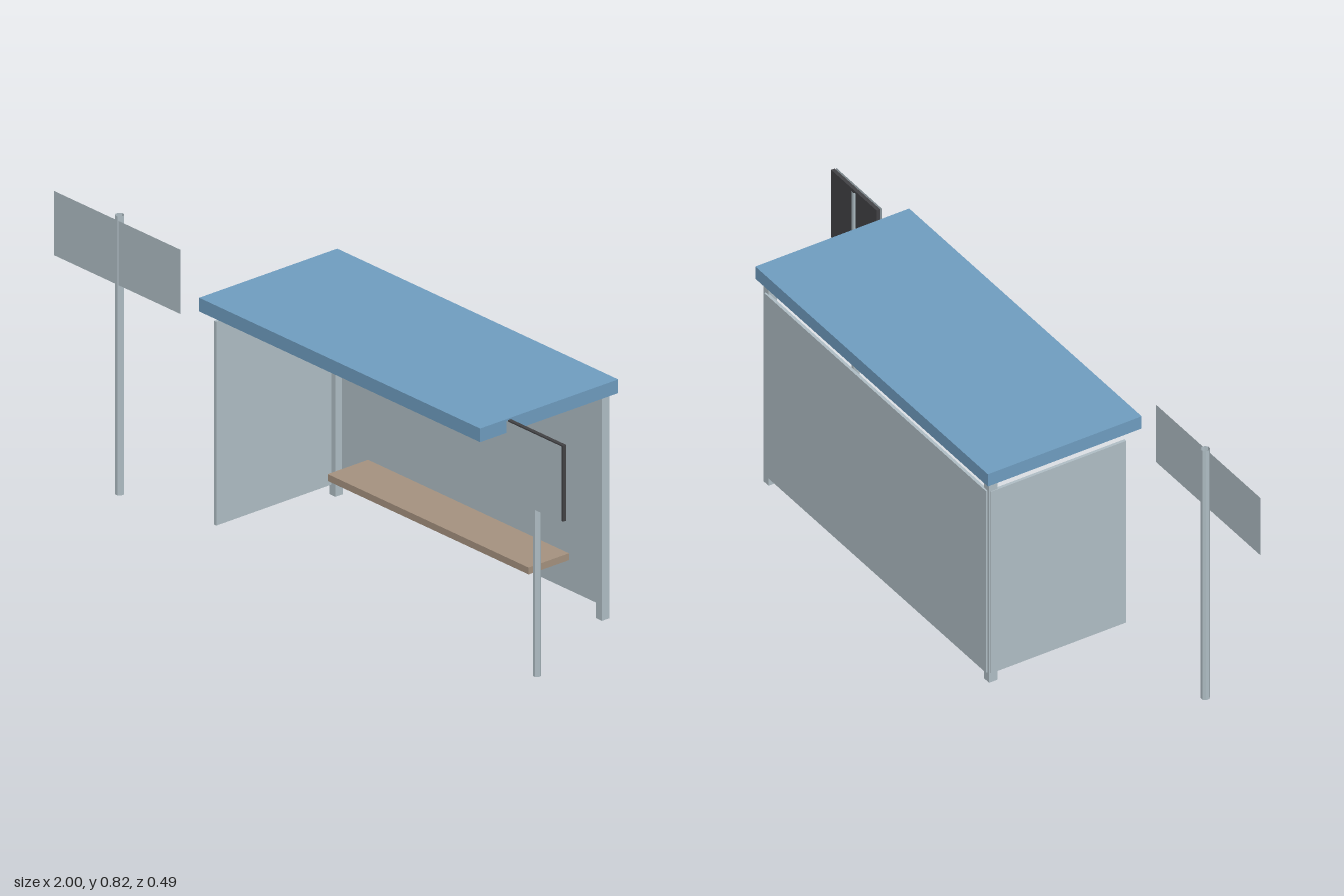
import * as THREE from 'three';

const material = (name, color, side = THREE.FrontSide) => {
  const m = new THREE.MeshStandardMaterial({ color, side });
  m.name = name;
  return m;
};

export function createModel() {
  const group = new THREE.Group();
  const grey = material('paleGrey', 0xb0bec5);
  const greySheet = material('paleGreySheet', 0xb0bec5, THREE.DoubleSide);
  const blue = material('roofBlue', 0x6f9dc0);
  const wood = material('benchWood', 0xa5927f);
  const dark = material('darkGrey', 0x424245);

  const add = (name, geometry, mat, x = 0, y = 0, z = 0) => {
    const mesh = new THREE.Mesh(geometry, mat);
    mesh.name = name;
    mesh.position.set(x, y, z);
    group.add(mesh);
    return mesh;
  };
  // Box given by its lower and upper limits on each axis
  const box = (name, mat, [x0, x1], [y0, y1], [z0, z1]) =>
    add(name, new THREE.BoxGeometry(x1 - x0, y1 - y0, z1 - z0), mat,
      (x0 + x1) / 2, (y0 + y1) / 2, (z0 + z1) / 2);
  // Open eight-sided post with flats facing the axes
  const post = (name, x, z, halfWidth, height) => {
    const r = halfWidth / Math.cos(Math.PI / 8);
    const g = new THREE.CylinderGeometry(r, r, height, 8, 1, true).rotateY(Math.PI / 8).toNonIndexed();
    g.computeVertexNormals();
    return add(name, g, greySheet, x, height / 2, z);
  };

  // Shelter
  box('roof', blue, [-0.39, 0.75], [0.66, 0.70], [-0.245, 0.245]);
  for (const x of [-0.361, 0.72]) box('backColumn', grey, [x - 0.012, x + 0.012], [0, 0.66], [-0.23, -0.203]);
  box('backPanel', grey, [-0.365, 0.722], [0.03, 0.626], [-0.235, -0.226]);
  box('sidePanel', grey, [-0.375, -0.366], [0.03, 0.626], [-0.225, 0.205]);
  box('bench', wood, [-0.225, 0.59], [0.128, 0.148], [-0.21, -0.067]);

  // Wide sign on its post
  post('wideSignPost', -0.744, 0.2175, 0.0118, 0.816);
  add('wideSign', new THREE.PlaneGeometry(0.514, 0.188), greySheet, -0.743, 0.709, 0.2275);

  // Small sign with a dark backing board
  post('smallSignPost', 0.888, 0.164, 0.0102, 0.706);
  box('smallSignBacking', dark, [0.776, 1.0], [0.489, 0.711], [0.1585, 0.1695]);
  add('smallSignFace', new THREE.PlaneGeometry(0.224, 0.222), greySheet, 0.888, 0.6, 0.175);

  return group;
}
